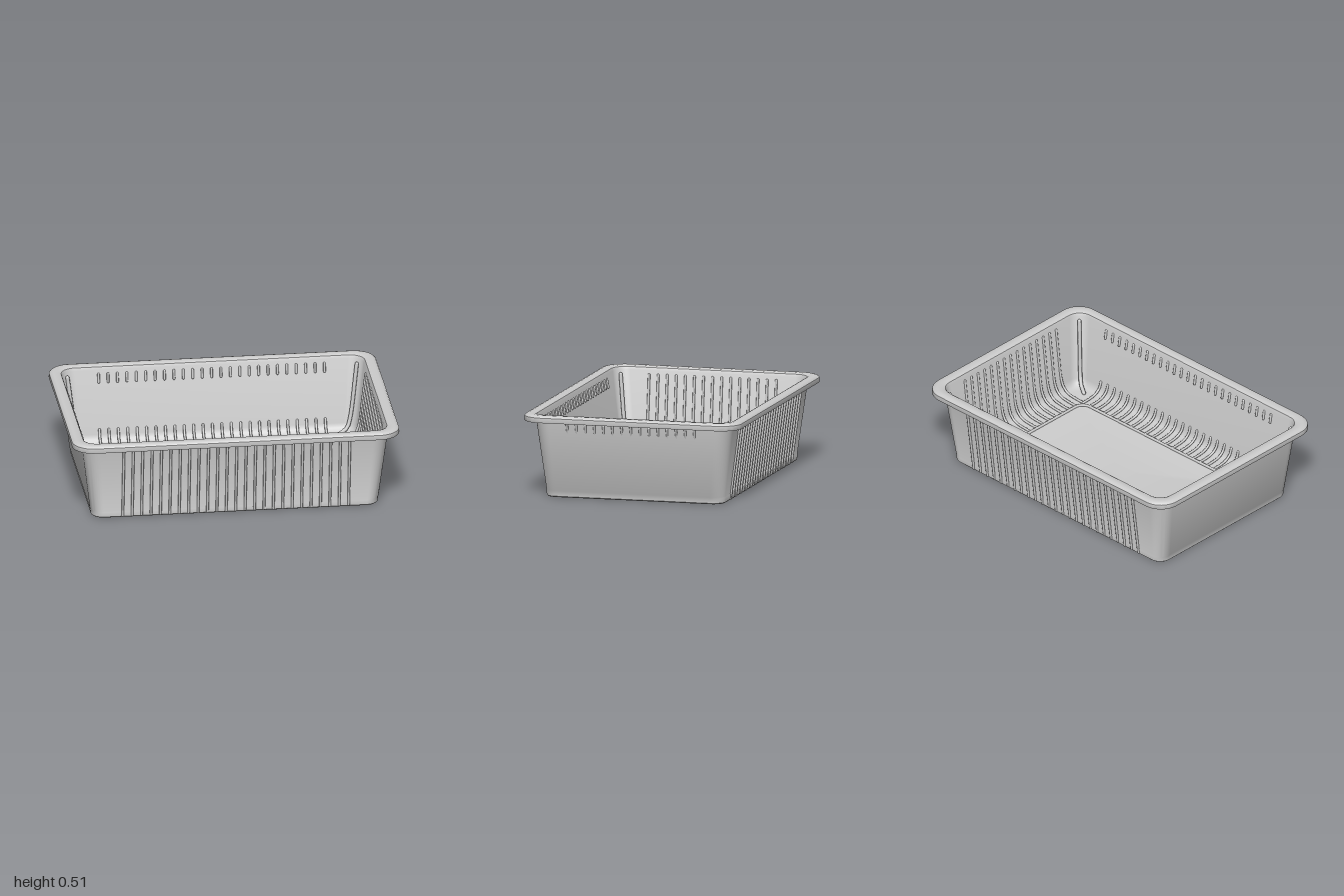
import * as THREE from 'three';
import { toCreasedNormals } from 'three/addons/utils/BufferGeometryUtils.js';

const material = new THREE.MeshStandardMaterial({ color: 0xcccccc, side: THREE.DoubleSide });
const CORNER_STEPS = 10;

// Points of a rounded rectangle in the xz plane
function roundedRect(hx, hz, r, y) {
  const pts = [];
  [[1, 1], [-1, 1], [-1, -1], [1, -1]].forEach(([sx, sz], k) => {
    for (let i = 0; i <= CORNER_STEPS; i++) {
      const a = (k + i / CORNER_STEPS) * Math.PI / 2;
      pts.push(new THREE.Vector3(sx * (hx - r) + r * Math.cos(a), y, sz * (hz - r) + r * Math.sin(a)));
    }
  });
  return pts;
}

// Skin through rounded-rectangle sections [halfX, halfZ, cornerRadius, y]
function loft(sections) {
  const rings = sections.map((s) => roundedRect(...s));
  const n = rings[0].length;
  const index = [];
  for (let i = 0; i < rings.length - 1; i++) {
    for (let j = 0; j < n; j++) {
      const a = i * n + j, b = a + n, c = i * n + (j + 1) % n, d = c + n;
      if (sections[i][0] > 0) index.push(a, b, c);
      if (sections[i + 1][0] > 0) index.push(c, b, d);
    }
  }
  const g = new THREE.BufferGeometry().setFromPoints(rings.flat());
  g.setIndex(index);
  return toCreasedNormals(g, 0.6);
}

// Round bar with domed ends along the given points
function bar(points, radius, name) {
  const group = new THREE.Group();
  group.name = name;
  const vs = points.map((p) => new THREE.Vector3(...p));
  const curve = new THREE.CatmullRomCurve3(vs);
  const segments = vs.length > 2 ? 16 : 1;
  group.add(new THREE.Mesh(new THREE.TubeGeometry(curve, segments, radius, 8), material));
  for (const end of [vs[0], vs[vs.length - 1]]) {
    const cap = new THREE.Mesh(new THREE.SphereGeometry(radius, 8, 6), material);
    cap.position.copy(end);
    group.add(cap);
  }
  return group;
}

// Row of bars on two opposite walls; profile is [distance from centre, y]
function ribRows(name, profile, count, span, onSides, radius = 0.008) {
  const rows = new THREE.Group();
  rows.name = name;
  const rib = bar(profile.map(([d, y]) => [0, y, d]), radius, 'rib');
  for (const turn of [0, Math.PI]) {
    const row = new THREE.Group();
    row.rotation.y = turn + (onSides ? Math.PI / 2 : 0);
    for (let i = 0; i < count; i++) {
      const copy = rib.clone();
      copy.position.x = -span + (2 * span * i) / (count - 1);
      row.add(copy);
    }
    rows.add(row);
  }
  return rows;
}

export function createModel() {
  const model = new THREE.Group();
  model.name = 'tray';

  // Basin: underside, foot, outer wall, flanged rim, inner wall and floor
  const basin = new THREE.Mesh(loft([
    [0, 0, 0, 0.022],
    [0.845, 0.53, 0.06, 0.022],
    [0.85, 0.535, 0.06, 0.004],
    [0.858, 0.543, 0.065, 0],
    [0.87, 0.555, 0.07, 0],
    [0.876, 0.561, 0.075, 0.006],
    [0.878, 0.563, 0.075, 0.036],
    [0.882, 0.561, 0.075, 0.042],
    [0.935, 0.617, 0.1, 0.47],
    [0.938, 0.62, 0.1, 0.494],
    [0.985, 0.667, 0.12, 0.494],
    [0.988, 0.67, 0.12, 0.472],
    [0.998, 0.68, 0.13, 0.472],
    [1, 0.682, 0.13, 0.478],
    [0.998, 0.68, 0.13, 0.502],
    [0.99, 0.672, 0.125, 0.511],
    [0.975, 0.657, 0.12, 0.515],
    [0.942, 0.627, 0.1, 0.514],
    [0.928, 0.614, 0.09, 0.507],
    [0.921, 0.607, 0.085, 0.49],
    [0.872, 0.552, 0.07, 0.09],
    [0.864, 0.544, 0.07, 0.062],
    [0.85, 0.53, 0.065, 0.046],
    [0.82, 0.5, 0.06, 0.038],
    [0, 0, 0, 0.038],
  ]), material);
  basin.name = 'basin';
  model.add(basin);

  // Ribs of the front and back walls
  model.add(ribRows('outerWallRibs', [[0.62, 0.46], [0.56, 0.01]], 25, 0.69, false));
  model.add(ribRows('upperInnerPegs', [[0.603, 0.465], [0.594, 0.415]], 25, 0.69, false));
  model.add(ribRows('floorRibs',
    [[0.556, 0.12], [0.54, 0.08], [0.51, 0.056], [0.47, 0.046], [0.4, 0.042]], 25, 0.69, false));

  // Ribs of the left and right walls
  model.add(ribRows('innerSideRibs',
    [[0.917, 0.465], [0.897, 0.3], [0.876, 0.14], [0.855, 0.085], [0.82, 0.056], [0.77, 0.046], [0.7, 0.042]],
    15, 0.4, true));
  model.add(ribRows('upperOuterPegs', [[0.936, 0.458], [0.916, 0.395]], 15, 0.4, true));

  // Raised border around the floor panel
  const path = new THREE.CurvePath();
  const loop = roundedRect(0.692, 0.396, 0.06, 0.042);
  loop.forEach((p, i) => path.add(new THREE.LineCurve3(p, loop[(i + 1) % loop.length])));
  const border = new THREE.Mesh(new THREE.TubeGeometry(path, 240, 0.009, 8, true), material);
  border.name = 'floorBorder';
  model.add(border);

  // Diagonal bars in the inner corners
  for (const sx of [-1, 1]) {
    for (const sz of [-1, 1]) {
      model.add(bar([
        [0.884 * sx, 0.465, 0.57 * sz],
        [0.836 * sx, 0.12, 0.528 * sz],
        [0.815 * sx, 0.07, 0.512 * sz],
        [0.76 * sx, 0.044, 0.48 * sz],
      ], 0.012, 'cornerBar'));
    }
  }
  return model;
}
